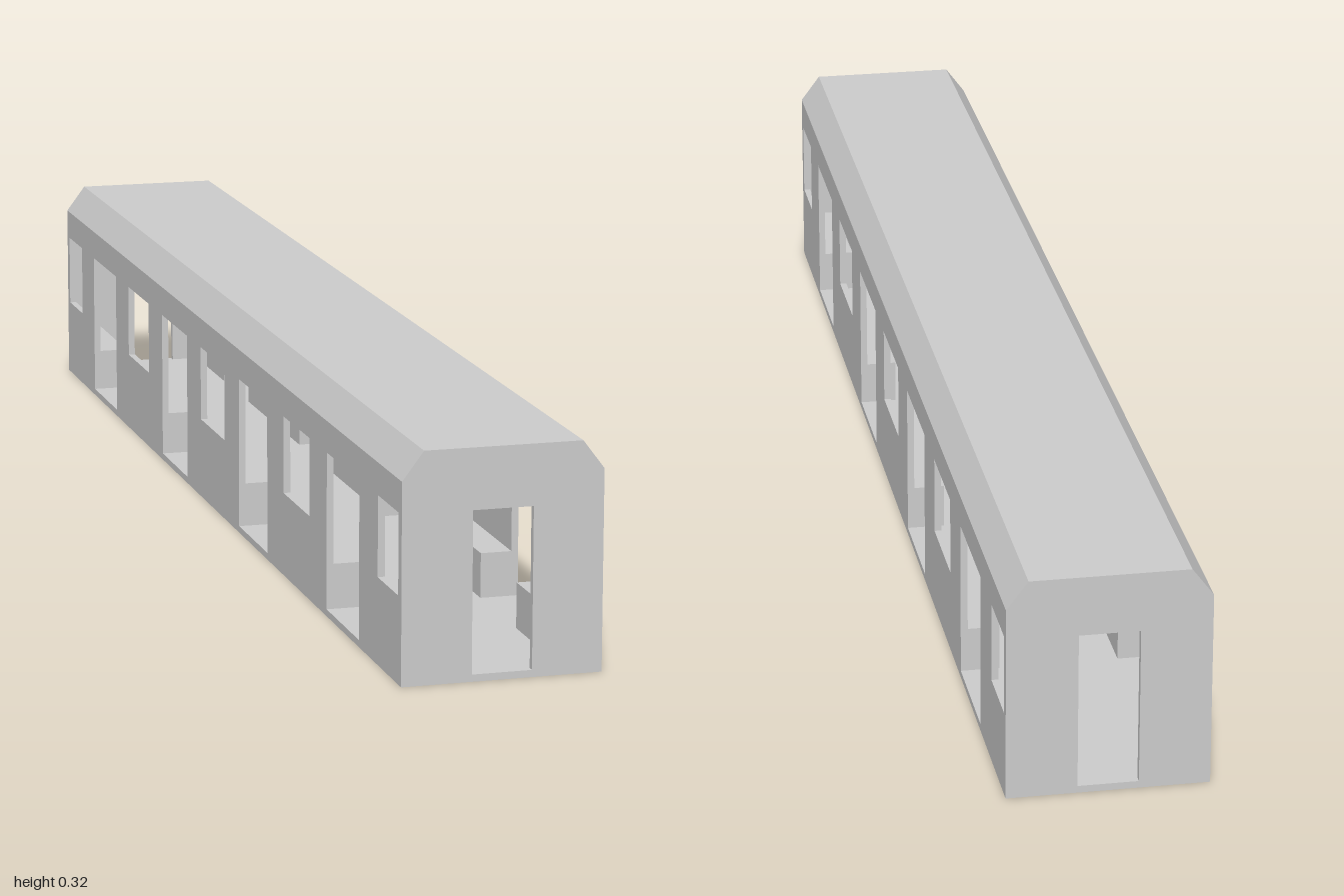
import * as THREE from 'three';

const material = new THREE.MeshStandardMaterial({ color: 0xcccccc, flatShading: true });
const T = 0.01;            // wall thickness
const W = 0.14;            // half width
const L = 1;               // half length
const EAVE = 0.28, TOP = 0.32, HEAD = 0.235, SILL = 0.122;

function polygon(points) {
  return new THREE.Shape(points.map(([x, y]) => new THREE.Vector2(x, y)));
}

function rectangle(x0, x1, y0, y1) {
  return polygon([[x0, y0], [x1, y0], [x1, y1], [x0, y1]]);
}

function extrude(shape, depth) {
  return new THREE.ExtrudeGeometry(shape, { depth, bevelEnabled: false });
}

export function createModel() {
  const group = new THREE.Group();
  const add = (name, geometry, x = 0, y = 0, z = 0) => {
    const mesh = new THREE.Mesh(geometry, material);
    mesh.name = name;
    mesh.position.set(x, y, z);
    group.add(mesh);
  };
  const inner = L - T;

  // Side walls with doorways down to the floor and windows between them
  const side = rectangle(-inner, inner, 0, EAVE);
  const doors = [[0.638, 0.8], [0.158, 0.32]];
  const windows = [[0.889, 0.985], [0.41, 0.55]];
  for (const s of [-1, 1]) {
    for (const [a, b] of doors) side.holes.push(rectangle(s * a, s * b, T, HEAD));
    for (const [a, b] of windows) side.holes.push(rectangle(s * a, s * b, SILL, HEAD));
  }
  side.holes.push(rectangle(-0.072, 0.072, SILL, HEAD));
  const sideGeometry = extrude(side, T).rotateY(Math.PI / 2);
  add('leftWall', sideGeometry, W - T);
  add('rightWall', sideGeometry, -W);

  // End walls with a gangway opening
  const end = polygon([[-W, 0], [W, 0], [W, EAVE], [0.11, TOP], [-0.11, TOP], [-W, EAVE]]);
  end.holes.push(rectangle(-0.042, 0.042, T, HEAD));
  const endGeometry = extrude(end, T);
  add('frontWall', endGeometry, 0, 0, inner);
  add('backWall', endGeometry, 0, 0, -L);

  // Roof shell with sloped edges
  const roof = polygon([
    [W, EAVE], [0.11, TOP], [-0.11, TOP], [-W, EAVE],
    [-W + T, EAVE], [-0.105, TOP - T], [0.105, TOP - T], [W - T, EAVE],
  ]);
  add('roof', extrude(roof, 2 * inner), 0, 0, -inner);

  // Floor
  add('floor', new THREE.BoxGeometry(2 * (W - T), T, 2 * inner), 0, T / 2, 0);

  // Benches along both walls, between the doorways
  const benchDepth = 0.045, benchHeight = 0.065;
  const spans = [[0.8, inner], [0.32, 0.638], [-0.158, 0.158], [-0.638, -0.32], [-inner, -0.8]];
  for (const [a, b] of spans) {
    const bench = new THREE.BoxGeometry(benchDepth, benchHeight, b - a);
    for (const s of [-1, 1]) {
      add(s > 0 ? 'leftBench' : 'rightBench', bench,
        s * (W - T - benchDepth / 2), T + benchHeight / 2, (a + b) / 2);
    }
  }
  return group;
}
